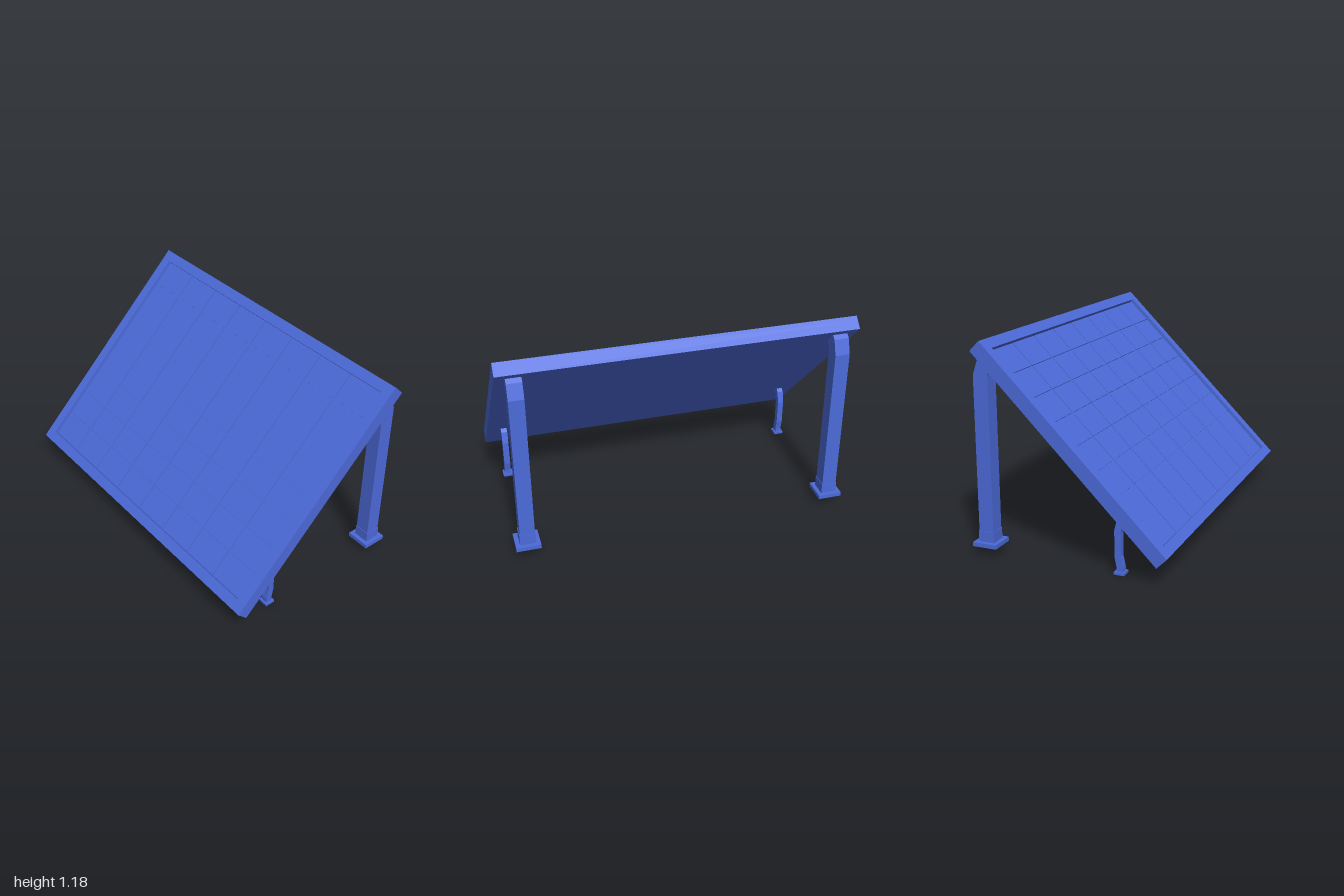
import * as THREE from 'three';
import { mergeGeometries } from 'three/addons/utils/BufferGeometryUtils.js';

const material = new THREE.MeshStandardMaterial({ color: 0x4c6ad9 });

function part(name, geometry, x = 0, y = 0, z = 0) {
  const mesh = new THREE.Mesh(geometry, material);
  mesh.name = name;
  mesh.position.set(x, y, z);
  return mesh;
}

// Side outline given as [z, y] points, extruded to a width centred on x = 0
function sideProfile(points, width) {
  const shape = new THREE.Shape(points.map(([z, y]) => new THREE.Vector2(z, y)));
  const geometry = new THREE.ExtrudeGeometry(shape, { depth: width, bevelEnabled: false });
  return geometry.translate(0, 0, -width / 2).rotateY(-Math.PI / 2);
}

function rectangle(Type, w, h) {
  return new Type([[-w, -h], [w, -h], [w, h], [-w, h]].map(([x, y]) => new THREE.Vector2(x / 2, y / 2)));
}

function createPanel() {
  const width = 2, height = 1.447, thickness = 0.078, border = 0.06;
  const innerW = width - 2 * border, innerH = height - 2 * border;
  const recess = 0.02, cellRise = 0.008, gap = 0.007, count = 8;
  const bedDepth = recess + cellRise;
  const panel = new THREE.Group();
  panel.name = 'panel';

  // Raised rim around the recessed cell bed
  const rim = rectangle(THREE.Shape, width, height);
  rim.holes.push(rectangle(THREE.Path, innerW, innerH));
  const rimGeometry = new THREE.ExtrudeGeometry(rim, { depth: bedDepth, bevelEnabled: false });
  panel.add(part('rim', rimGeometry, 0, 0, thickness / 2 - bedDepth));

  const backDepth = thickness - bedDepth;
  panel.add(part('backing', new THREE.BoxGeometry(width, height, backDepth), 0, 0, -bedDepth / 2));

  // Grid of cells separated by narrow grooves
  const stepX = innerW / count, stepY = innerH / count;
  const cells = [];
  for (let row = 0; row < count; row++) {
    for (let col = 0; col < count; col++) {
      const cell = new THREE.BoxGeometry(stepX - gap, stepY - gap, cellRise);
      cells.push(cell.translate((col - (count - 1) / 2) * stepX, (row - (count - 1) / 2) * stepY, 0));
    }
  }
  panel.add(part('cells', mergeGeometries(cells), 0, 0, thickness / 2 - recess - cellRise / 2));

  panel.position.set(0, 0.6435, 0.025);
  panel.rotation.x = -Math.PI / 4;
  return panel;
}

// Tall rear post with a bent head, collar and base plate
function createRearLeg() {
  const leg = new THREE.Group();
  leg.name = 'rearLeg';
  const outline = [
    [-0.535, 0.06], [-0.45, 0.06], [-0.45, 0.995], [-0.42, 1.032],
    [-0.482, 1.094], [-0.505, 1.075], [-0.535, 0.99],
  ];
  leg.add(part('rearPost', sideProfile(outline, 0.085)));
  leg.add(part('rearCollar', new THREE.BoxGeometry(0.091, 0.063, 0.091), 0, 0.1, -0.4925));
  leg.add(part('rearBasePlate', new THREE.BoxGeometry(0.14, 0.024, 0.14), 0, 0.059, -0.492));
  return leg;
}

// Short front strut, kinked at both ends, on a small foot
function createFrontLeg() {
  const leg = new THREE.Group();
  leg.name = 'frontLeg';
  const outline = [
    [0.258, 0.006], [0.295, 0.006], [0.295, 0.04], [0.282, 0.1], [0.282, 0.23], [0.315, 0.298],
    [0.285, 0.328], [0.265, 0.311], [0.247, 0.24], [0.247, 0.095], [0.258, 0.04],
  ];
  outline.splice(5, 0, [0.295, 0.28]);
  leg.add(part('frontStrut', sideProfile(outline, 0.036)));
  leg.add(part('frontFoot', new THREE.BoxGeometry(0.058, 0.014, 0.058), 0, 0.007, 0.276));
  return leg;
}

export function createModel() {
  const model = new THREE.Group();
  model.name = 'solarPanel';
  model.add(createPanel());
  for (const side of [-1, 1]) {
    for (const leg of [createRearLeg(), createFrontLeg()]) {
      leg.position.x = side * 0.9;
      model.add(leg);
    }
  }
  return model;
}
